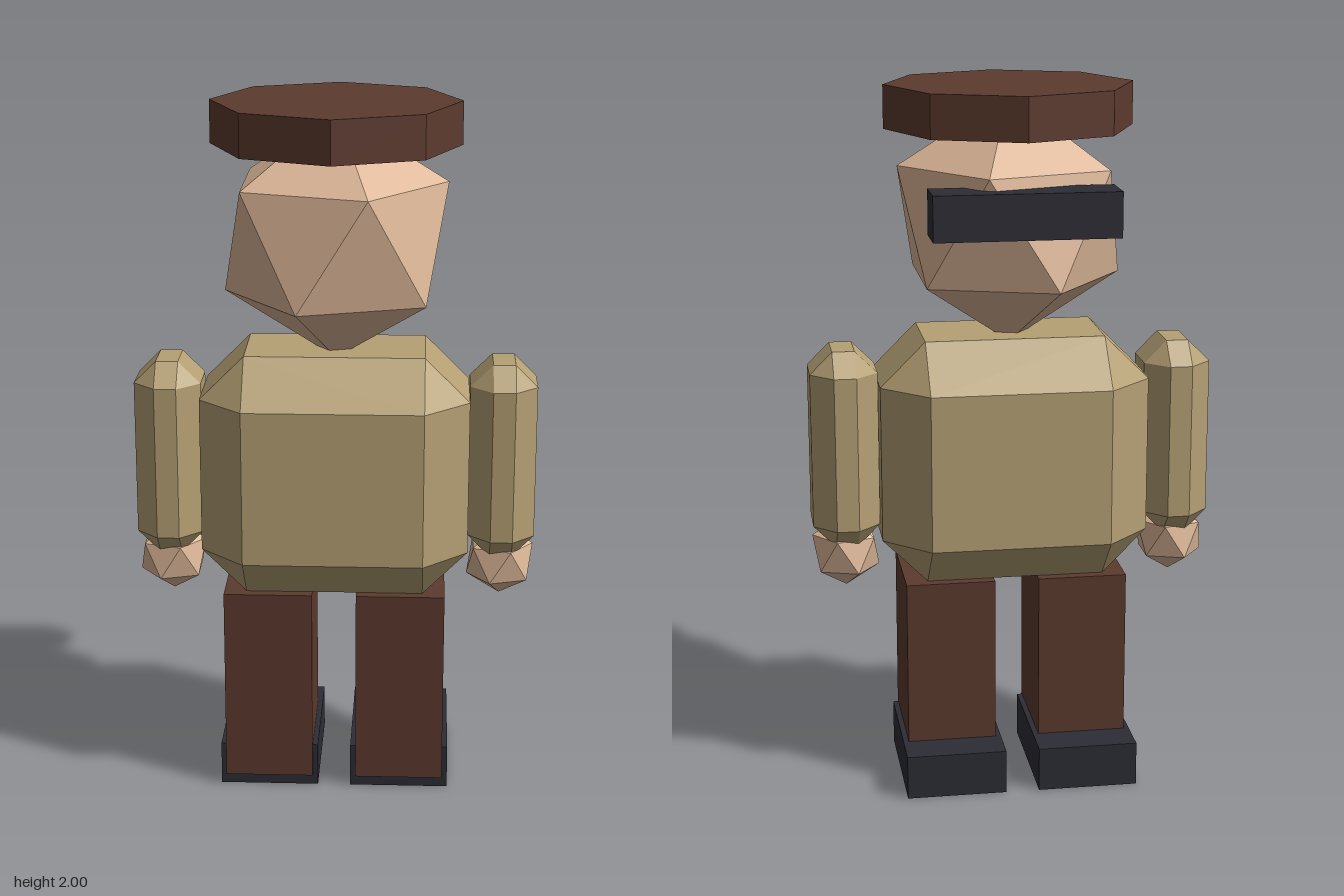
import * as THREE from 'three';
import { ConvexGeometry } from 'three/addons/geometries/ConvexGeometry.js';

const material = (name, color) => {
  const m = new THREE.MeshStandardMaterial({ color });
  m.name = name;
  return m;
};

// Box with a single chamfer along every edge
function chamferedBox(w, h, d, c) {
  const x = w / 2, y = h / 2, z = d / 2, points = [];
  for (const sx of [-1, 1]) for (const sy of [-1, 1]) for (const sz of [-1, 1]) {
    points.push(
      new THREE.Vector3(sx * x, sy * (y - c), sz * (z - c)),
      new THREE.Vector3(sx * (x - c), sy * y, sz * (z - c)),
      new THREE.Vector3(sx * (x - c), sy * (y - c), sz * z));
  }
  return new ConvexGeometry(points);
}

// Icosahedron standing on a vertex, upper ring starting at +x
function uprightIcosahedron(r) {
  const ringY = r / Math.sqrt(5), ringR = 2 * ringY;
  const points = [new THREE.Vector3(0, r, 0), new THREE.Vector3(0, -r, 0)];
  for (let i = 0; i < 5; i++) {
    const a = i * Math.PI * 2 / 5, x = ringR * Math.cos(a), z = ringR * Math.sin(a);
    points.push(new THREE.Vector3(x, ringY, z), new THREE.Vector3(-x, -ringY, -z));
  }
  return new ConvexGeometry(points);
}

export function createModel() {
  const model = new THREE.Group();
  model.name = 'figure';
  const skin = material('skin', 0xdeb899);
  const khaki = material('khaki', 0xb5a074);
  const brown = material('brown', 0x5c3a2e);
  const dark = material('dark', 0x2c2c35);
  for (const m of [skin, khaki, brown, dark]) m.flatShading = true;

  const add = (name, geometry, mat, x, y, z) => {
    const mesh = new THREE.Mesh(geometry, mat);
    mesh.name = name;
    mesh.position.set(x, y, z);
    model.add(mesh);
  };

  // Body and head
  add('torso', chamferedBox(0.76, 0.7, 0.508, 0.127), khaki, 0, 0.955, 0);
  add('head', uprightIcosahedron(0.35), skin, 0, 1.621, 0);

  // Octagonal cap and the bar behind the head
  add('cap', new THREE.CylinderGeometry(0.349, 0.349, 0.121, 8), brown, 0, 1.9395, 0);
  add('headBar', new THREE.BoxGeometry(0.508, 0.125, 0.127), dark, 0, 1.684, -0.286);

  // Limbs
  for (const [side, s] of [['left', 1], ['right', -1]]) {
    add(side + 'Arm', chamferedBox(0.19, 0.571, 0.254, 0.0635), khaki, s * 0.476, 0.985, 0);
    add(side + 'Hand', uprightIcosahedron(0.107), skin, s * 0.476, 0.671, 0);
    add(side + 'Leg', new THREE.BoxGeometry(0.254, 0.57, 0.317), brown, s * 0.19, 0.32, 0);
    add(side + 'Shoe', new THREE.BoxGeometry(0.285, 0.127, 0.412), dark, s * 0.19, 0.0635, -0.0635);
  }
  return model;
}
